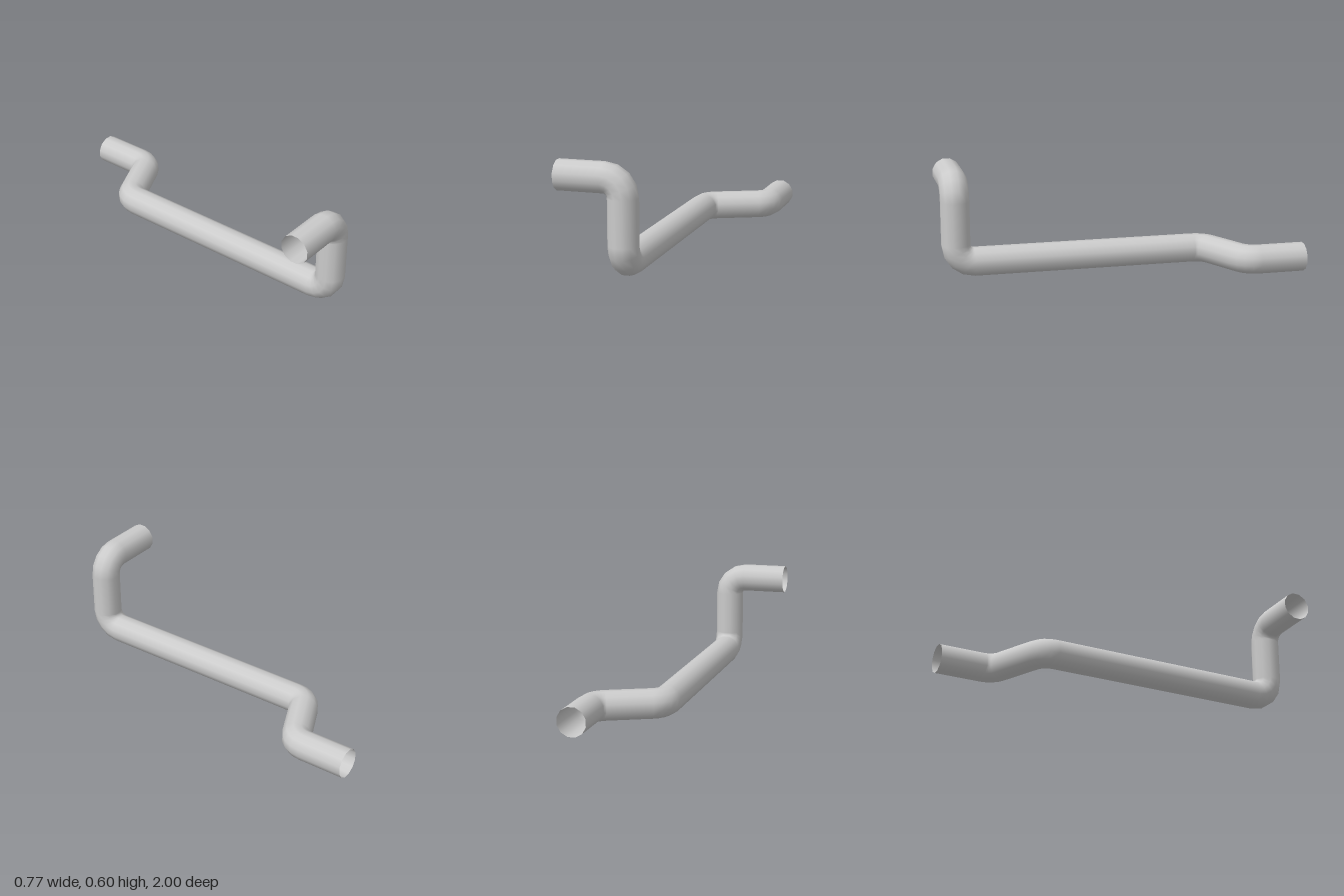
import * as THREE from 'three';

const SIDES = 12, APOTHEM = 0.079, BEND_RADIUS = 0.1, BEND_STEPS = 4;

// Centre line with rounded corners: a list of { point, tangent } stations
function roundedPath(corners) {
  const stations = [];
  const last = corners.length - 1;
  const dir = i => corners[i + 1].clone().sub(corners[i]).normalize();
  stations.push({ point: corners[0], tangent: dir(0) });
  for (let i = 1; i < last; i++) {
    const a = dir(i - 1), b = dir(i);
    const angle = a.angleTo(b);
    const axis = a.clone().cross(b).normalize();
    const inward = axis.clone().cross(a);
    const start = corners[i].clone().addScaledVector(a, -BEND_RADIUS * Math.tan(angle / 2));
    for (let k = 0; k <= BEND_STEPS; k++) {
      const t = angle * k / BEND_STEPS;
      const point = start.clone()
        .addScaledVector(a, BEND_RADIUS * Math.sin(t))
        .addScaledVector(inward, BEND_RADIUS * (1 - Math.cos(t)));
      stations.push({ point, tangent: a.clone().applyAxisAngle(axis, t) });
    }
  }
  stations.push({ point: corners[last], tangent: dir(last - 1) });
  return stations;
}

// Skin of rings carried along the stations without twisting
function pipeGeometry(stations) {
  const radius = APOTHEM / Math.cos(Math.PI / SIDES);
  const positions = [], normals = [], index = [];
  const up = new THREE.Vector3(0, 1, 0);
  const turn = new THREE.Quaternion();
  stations.forEach(({ point, tangent }, i) => {
    if (i) up.applyQuaternion(turn.setFromUnitVectors(stations[i - 1].tangent, tangent));
    const side = tangent.clone().cross(up).normalize();
    for (let j = 0; j < SIDES; j++) {
      const t = (j + 0.5) / SIDES * Math.PI * 2;
      const n = up.clone().multiplyScalar(Math.cos(t)).addScaledVector(side, Math.sin(t));
      normals.push(n.x, n.y, n.z);
      positions.push(...point.clone().addScaledVector(n, radius).toArray());
      if (i) {
        const k = (j + 1) % SIDES, p = (i - 1) * SIDES, q = i * SIDES;
        index.push(p + j, p + k, q + j, p + k, q + k, q + j);
      }
    }
  });
  const geometry = new THREE.BufferGeometry();
  geometry.setAttribute('position', new THREE.Float32BufferAttribute(positions, 3));
  geometry.setAttribute('normal', new THREE.Float32BufferAttribute(normals, 3));
  geometry.setIndex(index);
  return geometry;
}

export function createModel() {
  const group = new THREE.Group();
  group.name = 'bentPipe';

  // Upper stub, riser, long run, sideways jog and rear stub
  const corners = [
    [-0.387, 0.525, 0.921],
    [-0.036, 0.525, 0.921],
    [-0.036, 0.079, 0.921],
    [-0.036, 0.079, -0.513],
    [0.307, 0.079, -0.672],
    [0.307, 0.079, -1],
  ].map(c => new THREE.Vector3(...c));

  // The pipe is hollow and open at both ends
  const material = new THREE.MeshStandardMaterial({ color: 0xcccccc, side: THREE.DoubleSide });
  const pipe = new THREE.Mesh(pipeGeometry(roundedPath(corners)), material);
  pipe.name = 'pipe';
  group.add(pipe);
  return group;
}
